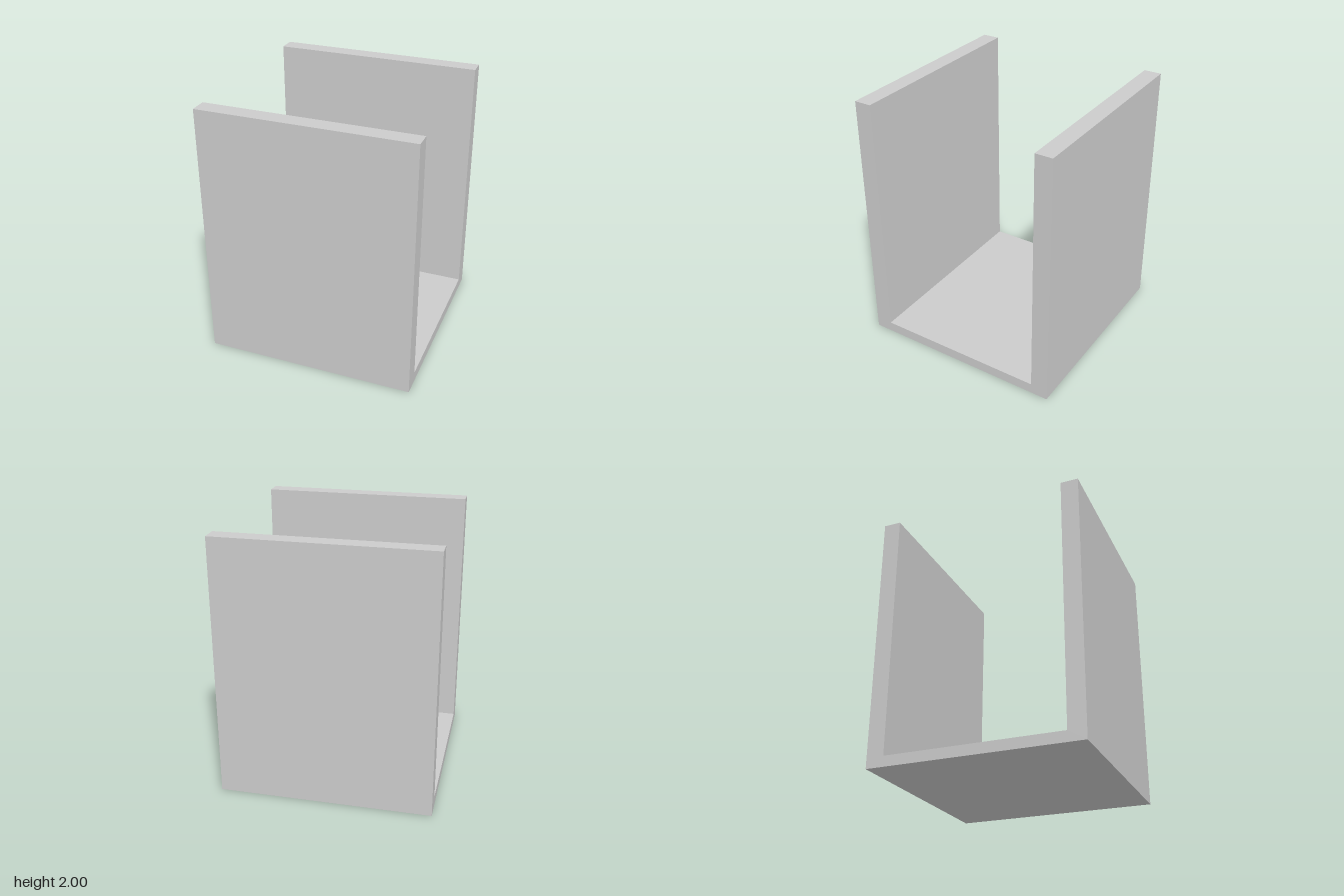
import * as THREE from 'three';

const WIDTH = 1.614;  // along x
const HALF_DEPTH = 0.8;
const INNER = 0.667;  // inner face of each wall
const HEIGHT = 2;
const FLOOR = 0.08;

export function createModel() {
  const group = new THREE.Group();
  group.name = 'channel';

  // U-shaped section: two upright walls joined by a thin floor
  const section = new THREE.Shape([
    [-HALF_DEPTH, 0], [HALF_DEPTH, 0], [HALF_DEPTH, HEIGHT], [INNER, HEIGHT],
    [INNER, FLOOR], [-INNER, FLOOR], [-INNER, HEIGHT], [-HALF_DEPTH, HEIGHT],
  ].map(([z, y]) => new THREE.Vector2(z, y)));

  // Extrude the section and turn its length to run along x
  const geometry = new THREE.ExtrudeGeometry(section, { depth: WIDTH, bevelEnabled: false });
  geometry.translate(0, 0, -WIDTH / 2);
  geometry.rotateY(Math.PI / 2);

  const body = new THREE.Mesh(
    geometry,
    new THREE.MeshStandardMaterial({ color: 0xcccccc, flatShading: true }),
  );
  body.name = 'channelBody';
  group.add(body);
  return group;
}
